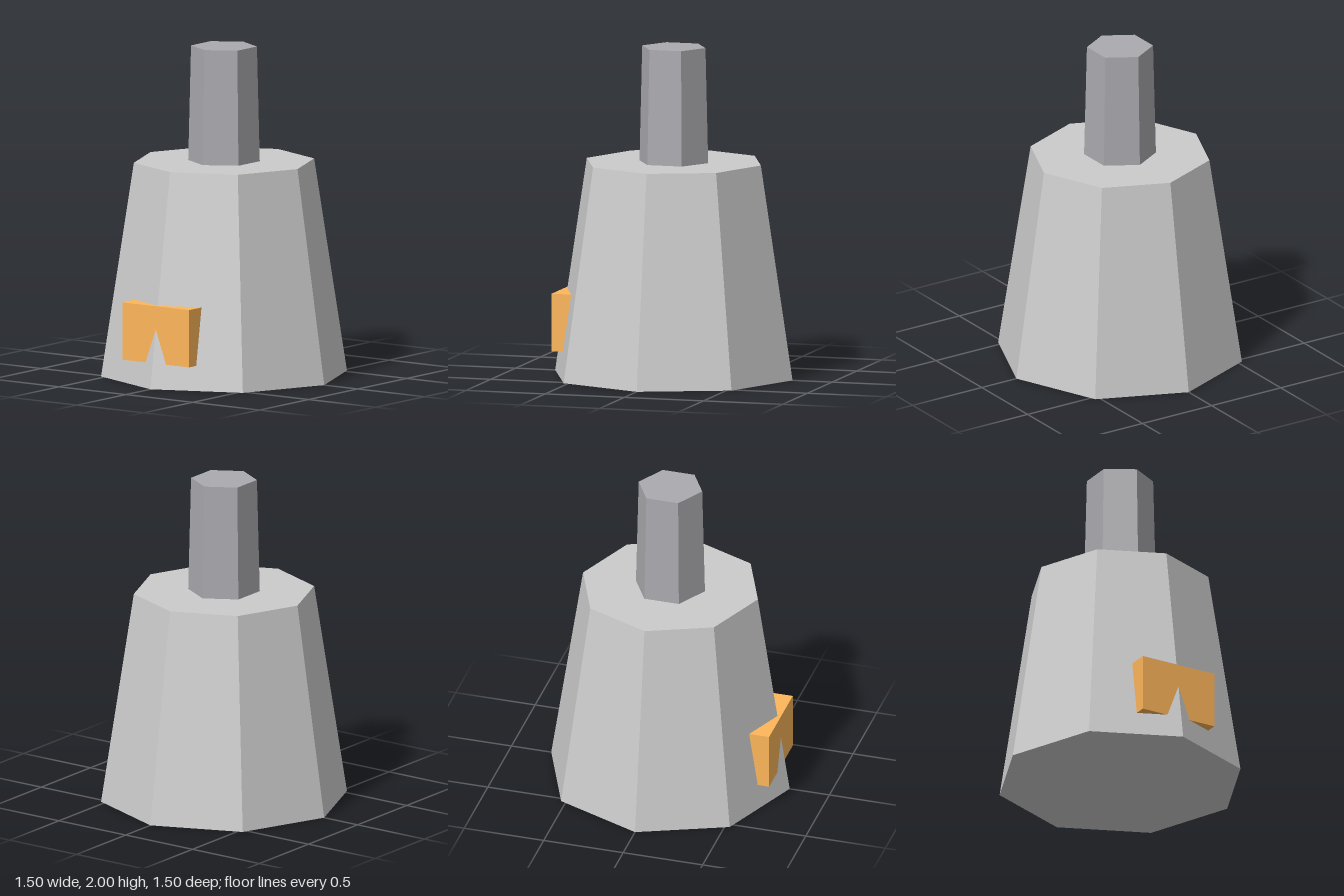
import * as THREE from 'three';

const material = (color) => new THREE.MeshStandardMaterial({ color, flatShading: true });

export function createModel() {
  const model = new THREE.Group();
  model.name = 'furnace';

  const add = (name, geometry, color, y, z = 0) => {
    const mesh = new THREE.Mesh(geometry, material(color));
    mesh.name = name;
    mesh.position.set(0, y, z);
    model.add(mesh);
  };

  // Tapered eight-sided body, with a corner facing the front
  add('body', new THREE.CylinderGeometry(0.55, 0.75, 1.3, 8), 0xcccccc, 0.65);

  // Six-sided chimney standing on the body
  add('chimney', new THREE.CylinderGeometry(0.2, 0.217, 0.7, 6), 0xaaaaaf, 1.65);

  // Glowing opening, a block sunk into the front corner
  add('fireOpening', new THREE.BoxGeometry(0.5, 0.35, 0.2), 0xffb75b, 0.325, 0.595);

  return model;
}
